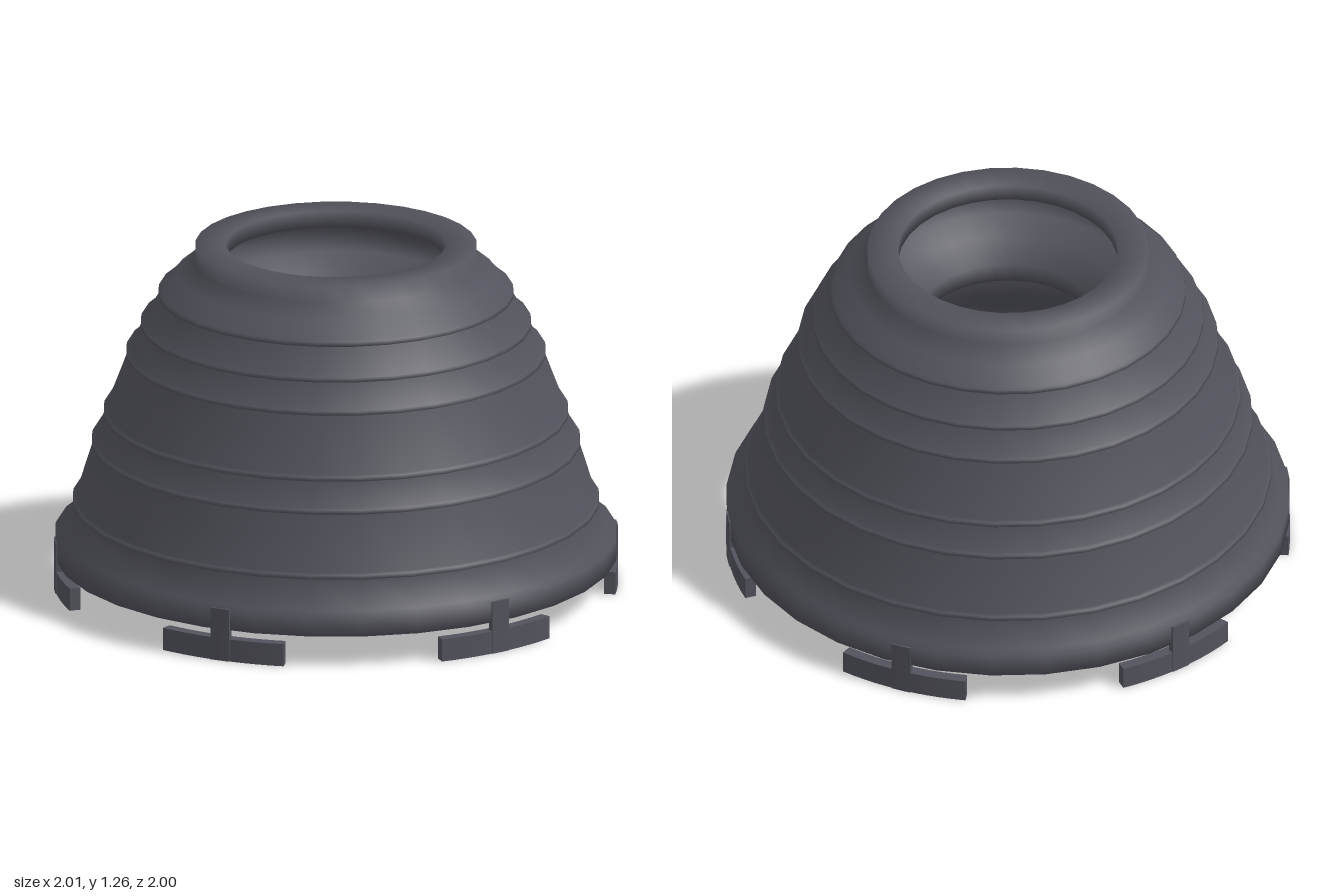
import * as THREE from 'three';
import { toCreasedNormals } from 'three/addons/utils/BufferGeometryUtils.js';

const material = new THREE.MeshStandardMaterial({ color: 0x52535c });

function addMesh(parent, name, geometry) {
  const mesh = new THREE.Mesh(geometry, material);
  mesh.name = name;
  parent.add(mesh);
}

// Ring sector around the +x direction, extruded upward from y = 0
function ringSector(inner, outer, halfAngle, height, segments) {
  const shape = new THREE.Shape();
  shape.absarc(0, 0, outer, -halfAngle, halfAngle, false);
  shape.absarc(0, 0, inner, halfAngle, -halfAngle, true);
  const geometry = new THREE.ExtrudeGeometry(shape, {
    depth: height, bevelEnabled: false, curveSegments: segments,
  });
  return toCreasedNormals(geometry.rotateX(-Math.PI / 2), 0.6);
}

export function createModel() {
  const model = new THREE.Group();
  model.name = 'ribbedCone';

  // Radius and height of each thin rib, from the bottom up
  const ribs = [[0.925, 0.315], [0.857, 0.535], [0.815, 0.645], [0.735, 0.865], [0.683, 0.972], [0.62, 1.085]];

  // Closed wall section: base rim and ribbed outside
  const profile = [[0.945, 0.115], [1, 0.115], [1, 0.192], [0.96, 0.197]];
  for (const [r, y] of ribs) {
    profile.push([r + 0.002, y - 0.012], [r + 0.012, y - 0.008], [r + 0.01, y + 0.007], [r - 0.004, y + 0.011]);
  }
  profile.push(
    // thin collar ring
    [0.565, 1.155], [0.5, 1.198], [0.5, 1.26], [0.39, 1.26], [0.39, 1.2], [0.475, 1.185],
    // upper shelf, sloping down to the central opening
    [0.54, 1.115], [0.47, 1.085], [0.4, 1.035], [0.315, 0.97], [0.315, 0.9], [0.45, 0.87], [0.63, 0.865],
    // lower inner ring
    [0.72, 0.71], [0.765, 0.65], [0.75, 0.64], [0.75, 0.535], [0.85, 0.42],
    // flare to the base rim
    [0.88, 0.31], [0.9, 0.2], [0.945, 0.185], [0.945, 0.115],
  );
  const points = profile.map(([r, y]) => new THREE.Vector2(r, y));
  addMesh(model, 'ribbedShell', new THREE.LatheGeometry(points, 32));

  // Six locking tabs: a curved foot and a short stem up to the rim
  for (let i = 0; i < 6; i++) {
    const tab = new THREE.Group();
    tab.name = 'lockingTab';
    addMesh(tab, 'curvedFoot', ringSector(0.96, 1, 0.237, 0.082, 5));
    addMesh(tab, 'stem', ringSector(0.98, 1.003, 0.036, 0.192, 2));
    tab.rotation.y = (i * Math.PI) / 3;
    model.add(tab);
  }
  return model;
}
